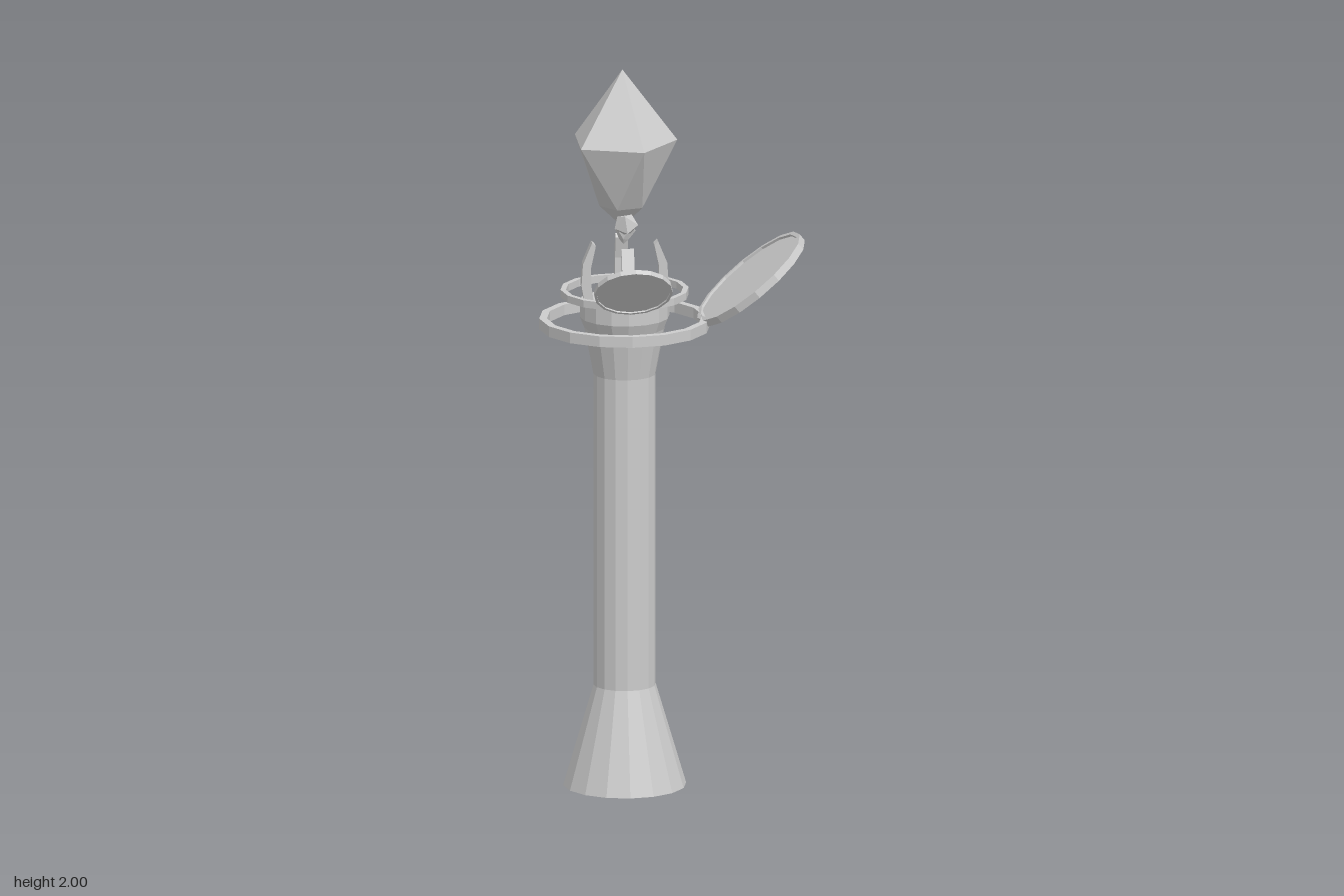
import * as THREE from 'three';
import { ConvexGeometry } from 'three/addons/geometries/ConvexGeometry.js';

const material = new THREE.MeshStandardMaterial({ color: 0xcccccc, flatShading: true });
const SIDES = 16;

function part(name, geometry, parent, x = 0, y = 0, z = 0) {
  const mesh = new THREE.Mesh(geometry, material);
  mesh.name = name;
  mesh.position.set(x, y, z);
  parent.add(mesh);
  return mesh;
}

function lathe(points) {
  return new THREE.LatheGeometry(points.map(([r, y]) => new THREE.Vector2(r, y)), SIDES);
}

// Flat band with a rectangular section, centred on its own height
function band(inner, outer, height) {
  const h = height / 2;
  return lathe([[inner, -h], [outer, -h], [outer, h], [inner, h], [inner, -h]]);
}

// Faceted gem: top point, wide ring, twisted narrow ring, bottom point
function gem(top, wide, narrowY, narrow, bottom) {
  const points = [new THREE.Vector3(0, top, 0), new THREE.Vector3(0, bottom, 0)];
  for (let i = 0; i < 5; i++) {
    const a = (i * Math.PI * 2) / 5;
    const b = a + Math.PI / 5;
    points.push(new THREE.Vector3(wide * Math.cos(a), 0, wide * Math.sin(a)));
    points.push(new THREE.Vector3(narrow * Math.cos(b), narrowY, narrow * Math.sin(b)));
  }
  return new ConvexGeometry(points);
}

// Round dish: rim with a thinner plate set inside it
function dish(name, radius, rim, thickness) {
  const group = new THREE.Group();
  group.name = name;
  part('dishRim', band(radius - rim, radius, thickness), group);
  part('dishPlate', new THREE.CylinderGeometry(radius - rim, radius - rim, thickness * 0.4, SIDES), group);
  return group;
}

export function createModel() {
  const model = new THREE.Group();
  model.name = 'crystalTower';
  const tower = new THREE.Group();
  tower.name = 'tower';
  tower.position.set(-0.133, 0, -0.05);
  model.add(tower);

  // Column with flared foot and capital
  part('column', lathe([
    [0, 0], [0.168, 0], [0.085, 0.28], [0.085, 1.15],
    [0.11, 1.28], [0.122, 1.31], [0.122, 1.355], [0, 1.355],
  ]), tower);

  // Floating rings
  part('outerRing', band(0.212, 0.233, 0.03), tower, 0, 1.293);
  part('innerRing', band(0.16, 0.175, 0.02), tower, 0, 1.377);

  // Curved claws around the capital
  const clawShape = new THREE.Shape([
    [0.085, 1.35], [0.11, 1.35], [0.119, 1.4], [0.115, 1.46], [0.09, 1.52],
    [0.08, 1.51], [0.093, 1.45], [0.092, 1.4],
  ].map(([r, y]) => new THREE.Vector2(r, y)));
  const clawGeometry = new THREE.ExtrudeGeometry(clawShape, { depth: 0.034, bevelEnabled: false });
  clawGeometry.translate(0, 0, -0.017);
  for (let i = 0; i < 4; i++) {
    part('claw', clawGeometry, tower).rotation.y = (i * Math.PI) / 2;
  }

  // Main crystal and its loose shards
  part('crystal', gem(0.2, 0.15, -0.18, 0.063, -0.24), tower, -0.006, 1.8, 0);
  const shards = [
    [-0.005, 1.59, 0.09, 0.034, 0.5],
    [0.005, 1.54, -0.045, 0.03, -0.6],
    [0.03, 1.375, 0.02, 0.035, 1.3],
  ];
  for (const [x, y, z, size, tilt] of shards) {
    const shard = part('shard', gem(size, size, -size * 0.9, size * 0.45, -size * 1.3), tower, x, y, z);
    shard.rotation.set(tilt, tilt * 2, tilt * 0.5);
  }

  // Tilted dishes at the side and the front
  const sideDish = dish('sideDish', 0.18, 0.012, 0.022);
  sideDish.position.set(0.212, 1.405, -0.05);
  sideDish.rotation.z = 0.68;
  model.add(sideDish);

  const frontDish = dish('frontDish', 0.107, 0.007, 0.014);
  frontDish.position.set(-0.133, 1.438, 0.2);
  frontDish.rotation.x = -Math.PI / 4;
  model.add(frontDish);

  return model;
}
